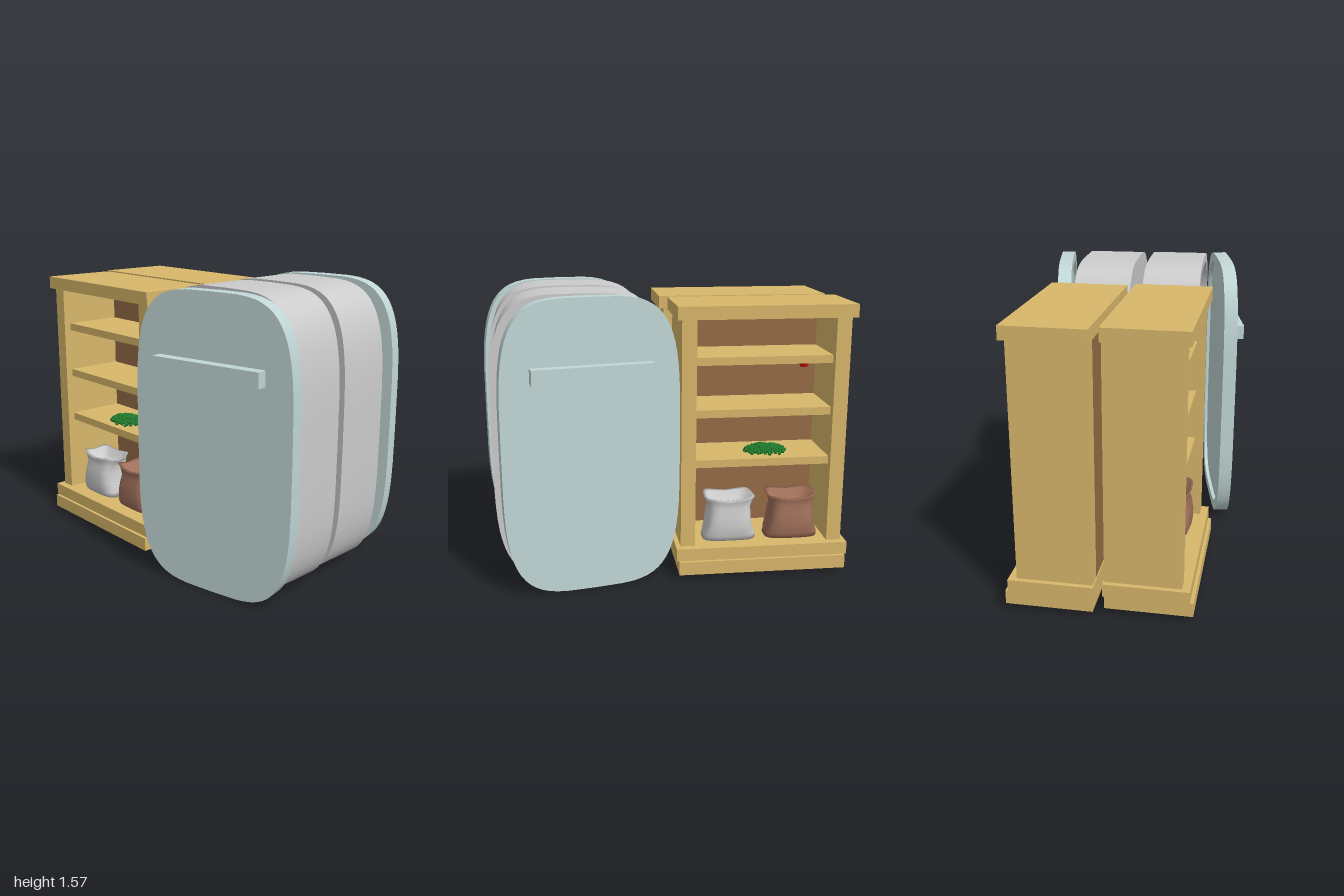
import * as THREE from 'three';
import { toCreasedNormals } from 'three/addons/utils/BufferGeometryUtils.js';

const mat = (color, extra = {}) => new THREE.MeshStandardMaterial({ color, ...extra });
const wood = mat(0xd8b76a);
const backWood = mat(0x966c46);
const grey = mat(0xcccccc);
const greySack = mat(0xcccccc, { side: THREE.DoubleSide });
const brownSack = mat(0xa0705a, { side: THREE.DoubleSide });
const enamel = mat(0xc0d6d5);
const green = mat(0x1f7a2c, { flatShading: true });
const red = mat(0xcc1010, { flatShading: true });

function add(parent, name, geometry, material, x = 0, y = 0, z = 0) {
  const m = new THREE.Mesh(geometry, material);
  m.name = name;
  m.position.set(x, y, z);
  parent.add(m);
  return m;
}

// Box given by its ranges along each axis
function box(parent, name, material, x0, x1, y0, y1, z0, z1) {
  return add(parent, name, new THREE.BoxGeometry(x1 - x0, y1 - y0, z1 - z0), material,
    (x0 + x1) / 2, (y0 + y1) / 2, (z0 + z1) / 2);
}

// Bulging rounded rectangle (superellipse), centred on the origin
const HW = 0.475, HH = 0.7825;
function outline(inset = 0, n = 64) {
  const pts = [];
  const root = v => Math.sign(v) * Math.sqrt(Math.abs(v));
  for (let i = 0; i < n; i++) {
    const a = (i / n) * Math.PI * 2;
    pts.push(new THREE.Vector2((HW - inset) * root(Math.cos(a)), (HH - inset) * root(Math.sin(a))));
  }
  return pts;
}

function slab(inset, depth, holeInset) {
  const shape = new THREE.Shape(outline(inset));
  if (holeInset) shape.holes.push(new THREE.Path(outline(holeInset).reverse()));
  return toCreasedNormals(new THREE.ExtrudeGeometry(shape, { depth, bevelEnabled: false }), 0.6);
}

// Open sack lofted from rounded rectangular rings, ending inside the mouth
function sackGeometry() {
  const rings = [ // y, half width, half depth, corner lift
    [0, 0.02, 0.02, 0], [0, 0.15, 0.085, 0], [0.03, 0.145, 0.1, 0], [0.09, 0.128, 0.105, 0],
    [0.15, 0.122, 0.1, 0], [0.19, 0.117, 0.088, 0], [0.225, 0.13, 0.09, 0.01],
    [0.245, 0.142, 0.098, 0.015], [0.24, 0.125, 0.082, 0.01],
    [0.2, 0.105, 0.07, 0], [0.185, 0.05, 0.03, 0], [0.185, 0.001, 0.001, 0]];
  const n = 24, pos = [], idx = [];
  rings.forEach(([y, w, d, lift]) => {
    for (let i = 0; i < n; i++) {
      const a = (i / n) * Math.PI * 2, c = Math.cos(a), s = Math.sin(a);
      const wave = y > 0 ? 1 + 0.025 * Math.sin(5 * a + y * 30) : 1;
      pos.push(w * wave * Math.sign(c) * Math.abs(c) ** 0.55, y + lift * (Math.abs(c * s) * 2 - 0.4),
        d * wave * Math.sign(s) * Math.abs(s) ** 0.55);
    }
  });
  for (let r = 0; r < rings.length - 1; r++) {
    for (let i = 0; i < n; i++) {
      const a = r * n + i, b = r * n + (i + 1) % n;
      idx.push(a, a + n, b, b, a + n, b + n);
    }
  }
  const g = new THREE.BufferGeometry();
  g.setAttribute('position', new THREE.Float32BufferAttribute(pos, 3));
  g.setIndex(idx);
  g.computeVertexNormals();
  return g;
}

// Low heap of little leaves
function herbPile() {
  const pile = new THREE.Group();
  pile.name = 'herbPile';
  let seed = 7;
  const rnd = () => (seed = (seed * 16807) % 2147483647) / 2147483647;
  const leaf = new THREE.IcosahedronGeometry(0.011, 0);
  for (let i = 0; i < 150; i++) {
    const r = Math.sqrt((i + 0.5) / 150), a = i * 2.39996;
    const m = add(pile, 'herbLeaf', leaf, green, 0.115 * r * Math.cos(a),
      0.01 + 0.036 * (1 - r * r) ** 0.5 * (0.6 + 0.4 * rnd()), 0.085 * r * Math.sin(a));
    m.rotation.set(rnd() * 3, rnd() * 3, 0);
  }
  return pile;
}

function cabinet() {
  const g = new THREE.Group();
  g.name = 'pantryCabinet';
  // Stepped base and overhanging top
  box(g, 'lowerBase', wood, -0.465, 0.465, 0.03, 0.105, -0.225, 0.23);
  box(g, 'upperBase', wood, -0.478, 0.478, 0.105, 0.175, -0.23, 0.212);
  box(g, 'topBoard', wood, -0.478, 0.478, 1.43, 1.5, -0.23, 0.195);
  // Sides and back
  for (const s of [-1, 1]) {
    const x = s * 0.412;
    box(g, 'sidePanel', wood, x - 0.04, x + 0.04, 0.175, 1.43, -0.225, 0.17);
  }
  box(g, 'backPanel', backWood, -0.372, 0.372, 0.175, 1.43, -0.225, -0.2);
  // Shelves
  for (const y of [0.612, 0.892, 1.178]) box(g, 'shelf', wood, -0.372, 0.372, y, y + 0.043, -0.2, 0.13);
  // Stored goods
  const sack = sackGeometry();
  add(g, 'greySack', sack, greySack, -0.165, 0.177, 0.04);
  add(g, 'brownSack', sack, brownSack, 0.19, 0.177, 0.04);
  const herbs = herbPile();
  herbs.position.set(0.04, 0.655, 0.02);
  g.add(herbs);
  add(g, 'redFruit', new THREE.CylinderGeometry(0.03, 0.02, 0.028, 8), red, 0.25, 1.15, 0);
  return g;
}

function fridge() {
  const g = new THREE.Group();
  g.name = 'fridge';
  // Hollow barrel-shaped housing with a closed back
  add(g, 'housing', slab(0, 0.32, 0.05), grey, 0, HH, -0.16);
  add(g, 'housingBack', slab(0.045, 0.03), grey, 0, HH, -0.159);
  for (const y of [0.56, 1.13]) box(g, 'fridgeShelf', grey, -0.42, 0.42, y, y + 0.03, -0.13, 0.13);
  // Door standing ajar, hinged on its own left
  const door = new THREE.Group();
  door.name = 'door';
  door.position.set(0.045, HH, 0.308);
  door.rotation.y = 0.16;
  add(door, 'doorPanel', slab(0, 0.055), enamel, 0, 0, -0.055);
  add(door, 'doorLip', slab(0, 0.02, 0.055), enamel, 0, 0, -0.075);
  box(door, 'doorHandle', enamel, -0.318, 0.318, 0.362, 0.442, 0, 0.058);
  g.add(door);
  return g;
}

export function createModel() {
  const model = new THREE.Group();
  model.name = 'kitchenStorage';
  // Two cabinets and two fridges standing back to back
  const place = (part, x, z, turn) => {
    part.position.set(x, 0, z);
    part.rotation.y = turn;
    model.add(part);
  };
  place(cabinet(), -0.489, 0.215, -0.042);
  place(cabinet(), -0.512, -0.285, Math.PI - 0.042);
  place(fridge(), 0.485, 0.19, 0);
  place(fridge(), 0.467, -0.197, Math.PI);
  return model;
}
